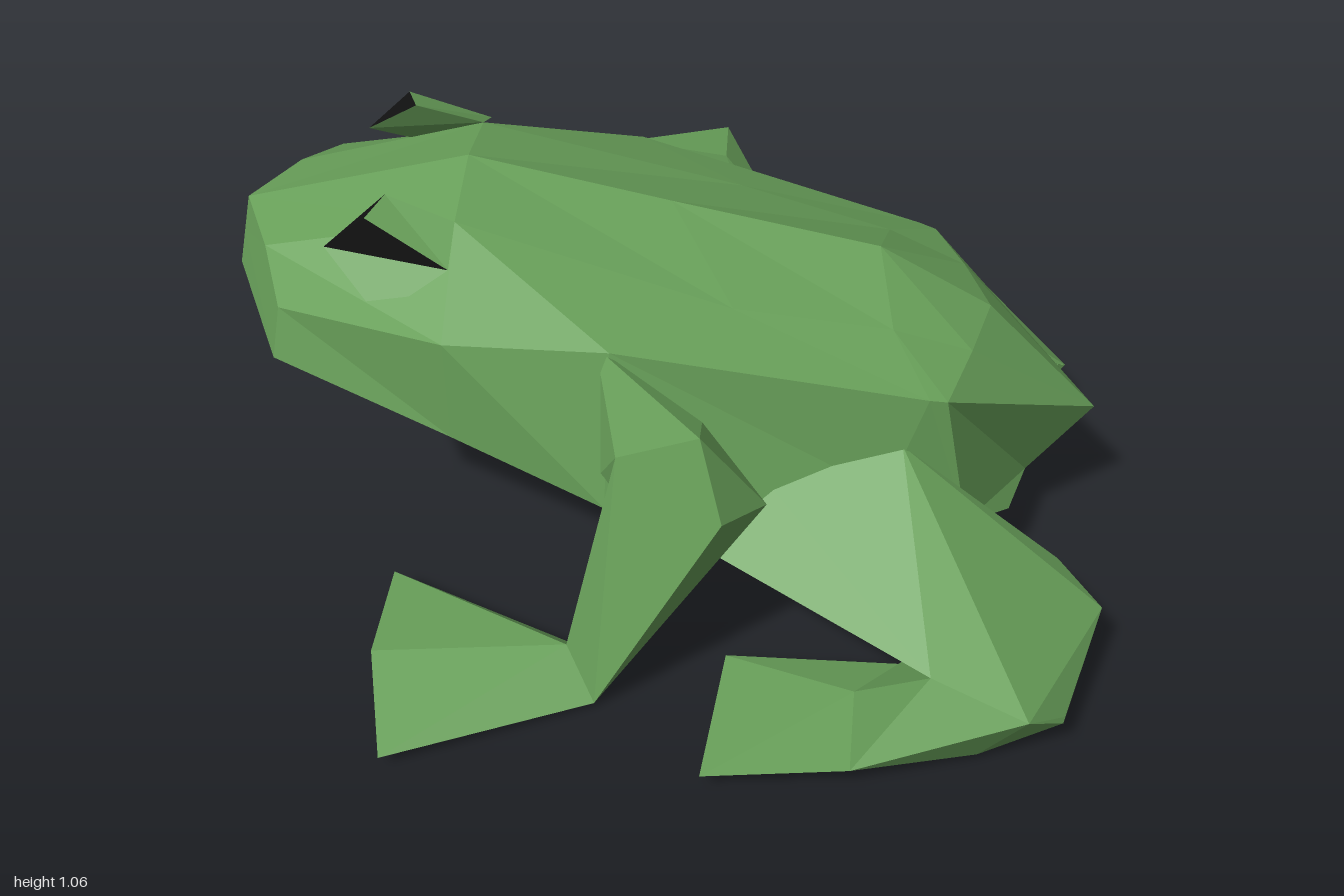
import * as THREE from 'three';
import { ConvexGeometry } from 'three/addons/geometries/ConvexGeometry.js';

const paint = (color) => new THREE.MeshStandardMaterial({ color, flatShading: true, side: THREE.DoubleSide });
const green = paint(0x69a15a), brown = paint(0xc8a87c), black = paint(0x111111);

// Mesh from a flat list of triangle corners
function triMesh(name, corners, material) {
  const geo = new THREE.BufferGeometry().setFromPoints(corners);
  geo.computeVertexNormals();
  const mesh = new THREE.Mesh(geo, material);
  mesh.name = name;
  return mesh;
}

// Faceted limb segment: hull of a few points; feet have brown soles
function limb(name, points, side) {
  const pos = new ConvexGeometry(points.map(([x, y, z]) => new THREE.Vector3(x, y, z * side))).attributes.position;
  const skin = [], sole = [], tri = new THREE.Triangle(), n = new THREE.Vector3();
  for (let i = 0; i < pos.count; i += 3) {
    tri.setFromAttributeAndIndices(pos, i, i + 1, i + 2);
    tri.getNormal(n);
    const isSole = name.endsWith('Foot') && n.y < -0.5;
    (isSole ? sole : skin).push(tri.a.clone(), tri.b.clone(), tri.c.clone());
  }
  const group = new THREE.Group();
  group.name = name;
  group.add(triMesh(name + 'Skin', skin, green));
  if (sole.length) group.add(triMesh(name + 'Sole', sole, brown));
  return group;
}

// Half sections from nose to tail: spine, back ridge, flank, belly edge, belly, keel
const tail = [1, 0.42, 0], rump = [0.86, 0.22, 0];
const sections = [
  Array(6).fill([-0.98, 0.83, 0]),
  [[-0.96, 0.92, 0], [-0.88, 0.91, 0.18], [-0.82, 0.86, 0.34], [-0.84, 0.74, 0.36], [-0.92, 0.74, 0.18], [-1, 0.74, 0]],
  [[-0.45, 1.05, 0], [-0.45, 1.01, 0.21], [-0.45, 0.86, 0.45], [-0.45, 0.605, 0.44], [-0.39, 0.44, 0.22], [-0.33, 0.3, 0]],
  [[0, 0.95, 0], [0.15, 0.84, 0.25], [-0.1, 0.85, 0.44], [-0.11, 0.49, 0.52], [-0.03, 0.35, 0.25], [0.04, 0.22, 0]],
  [[0.47, 0.85, 0], [0.5, 0.765, 0.2], [0.58, 0.69, 0.35], [0.5, 0.45, 0.38], [0.55, 0.23, 0.27], [0.5, 0.22, 0]],
  [[0.73, 0.7, 0], [0.68, 0.695, 0.17], [0.62, 0.68, 0.34], [0.69, 0.32, 0.32], [0.81, 0.22, 0.15], rump],
  [tail, tail, tail, rump, rump, rump],
];

function makeBody() {
  const rings = sections.map((half) => {
    const left = half.map((p) => new THREE.Vector3(...p));
    const right = half.slice(1, 5).reverse().map(([x, y, z]) => new THREE.Vector3(x, y, -z));
    return [...left, ...right];
  });
  const skin = [], belly = [];
  for (let i = 0; i < rings.length - 1; i++) {
    for (let j = 0; j < 10; j++) {
      const k = (j + 1) % 10, strip = Math.min(j, 9 - j);
      const a = rings[i][j], b = rings[i][k], c = rings[i + 1][k], d = rings[i + 1][j];
      const isBelly = i > 0 && i < 5 && (strip === 4 || (strip === 3 && i < 4));
      // Both flanks use the same diagonal once mirrored
      const tris = j < 5 ? [a, b, c, a, c, d] : [a, b, d, b, c, d];
      for (let t = 0; t < 6; t += 3) {
        const [p, q, r] = tris.slice(t, t + 3);
        if (new THREE.Triangle(p, q, r).getArea() > 1e-6) (isBelly ? belly : skin).push(p, q, r);
      }
    }
  }
  const body = new THREE.Group();
  body.name = 'body';
  body.add(triMesh('back', skin, green), triMesh('belly', belly, brown));
  return body;
}

// Raised eye: black front and side, with green lids behind and below
function makeEye(side) {
  const [front, top, brow, back, inner, below] = [
    [-0.73, 0.96, 0.25], [-0.6, 1.06, 0.19], [-0.63, 1.05, 0.27], [-0.45, 0.96, 0.32], [-0.45, 1.01, 0.21],
    [-0.6, 0.86, 0.36],
  ].map(([x, y, z]) => new THREE.Vector3(x, y, z * side));
  const face = (...p) => (side > 0 ? p : p.reverse());
  const eye = new THREE.Group();
  eye.name = side > 0 ? 'rightEye' : 'leftEye';
  eye.add(
    triMesh('eyeball', face(front, brow, top, front, back, brow), black),
    triMesh('eyelid', face(top, brow, back, top, back, inner, front, top, inner, front, below, back), green),
  );
  return eye;
}

// Leg segments for the +z side
const limbs = {
  upperArm: [[-0.13, 0.85, 0.42], [-0.15, 0.5, 0.46], [0.1, 0.78, 0.62], [0.1, 0.75, 0.53], [0.15, 0.6, 0.68],
    [0.24, 0.55, 0.55], [0.19, 0.52, 0.48], [-0.08, 0.66, 0.55]],
  forearm: [[0.1, 0.78, 0.62], [0.15, 0.6, 0.68], [0.24, 0.55, 0.55], [0.19, 0.52, 0.5], [-0.08, 0.66, 0.55],
    [-0.2, 0.11, 0.56], [-0.13, 0.02, 0.65], [-0.1, 0.06, 0.55]],
  frontFoot: [[-0.13, 0.02, 0.65], [-0.1, 0.06, 0.55], [-0.2, 0.11, 0.56], [-0.58, 0.04, 0.86],
    [-0.64, 0.1, 0.6], [-0.64, 0.08, 0.32]],
  thigh: [[0.53, 0.57, 0.36], [0.22, 0.51, 0.4], [0.13, 0.36, 0.44], [0.13, 0.36, 0.51], [0.6, 0.27, 0.76],
    [0.78, 0.31, 0.32], [0.9, 0.27, 0.37], [1, 0.2, 0.45], [0.9, 0.13, 0.72], [0.81, 0.2, 0.81], [0.5, 0.28, 0.42]],
  shank: [[0.6, 0.27, 0.76], [0.81, 0.2, 0.81], [0.9, 0.11, 0.72], [1, 0.2, 0.45], [0.9, 0.25, 0.37],
    [0.9, 0.12, 0.38], [0.45, 0.09, 0.64], [0.44, 0.08, 0.86], [0.72, 0.03, 0.75], [0.72, 0.04, 0.46]],
  hindFoot: [[0.12, 0.06, 0.88], [0.44, 0.08, 0.86], [0.27, 0.0, 0.74], [0.16, 0.06, 0.52], [0.72, 0.03, 0.75],
    [0.45, 0.09, 0.64], [0.72, 0.04, 0.5]],
};

export function createModel() {
  const frog = new THREE.Group();
  frog.name = 'frog';
  frog.add(makeBody());
  for (const side of [1, -1]) {
    frog.add(makeEye(side));
    for (const [name, points] of Object.entries(limbs)) frog.add(limb(name, points, side));
  }
  return frog;
}
